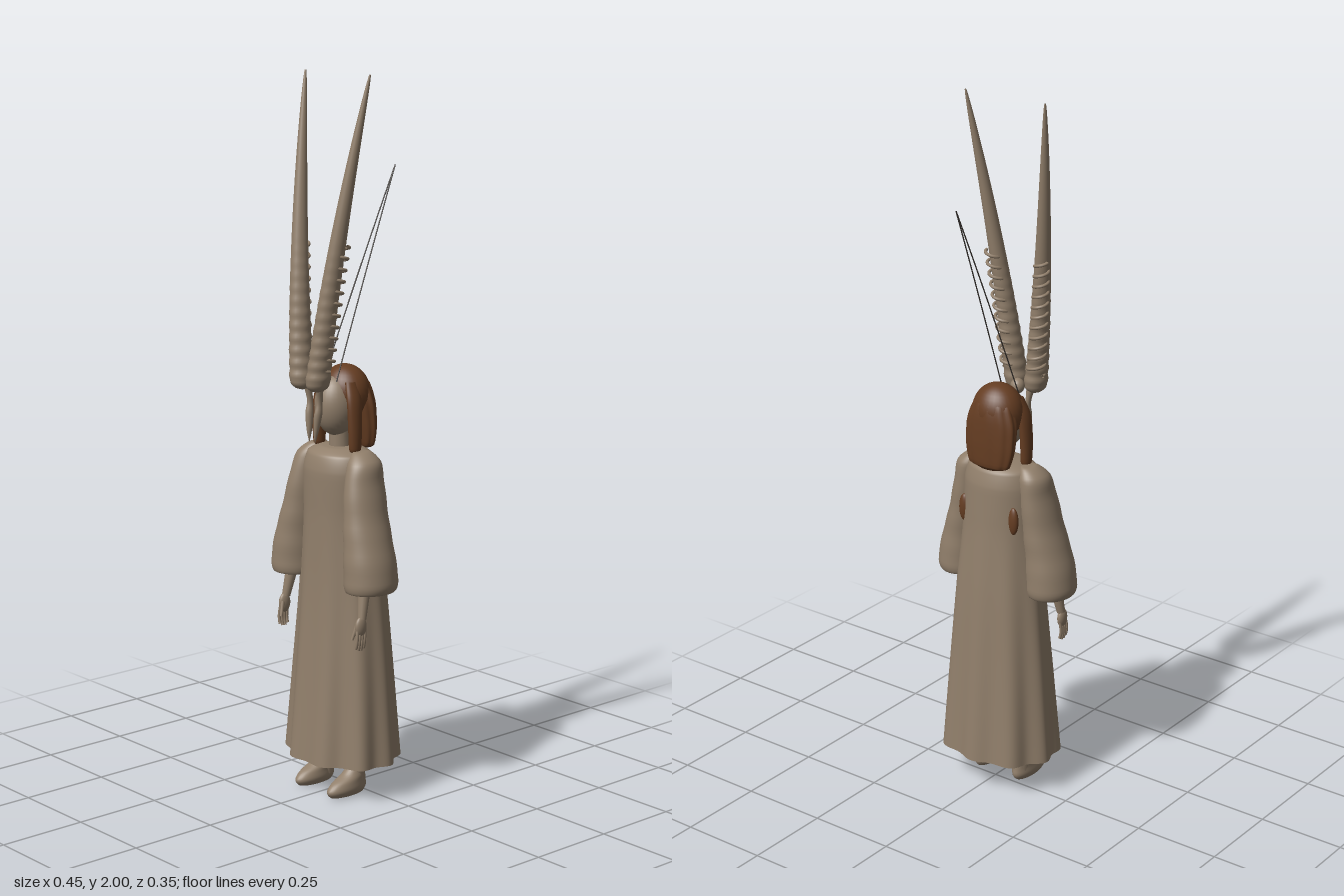
import * as THREE from 'three';

const cloth = new THREE.MeshStandardMaterial({ color: 0x917f6b, side: THREE.DoubleSide });
cloth.name = 'taupe';
const brown = new THREE.MeshStandardMaterial({ color: 0x653d22, side: THREE.DoubleSide });
brown.name = 'hair brown';
const dark = new THREE.MeshStandardMaterial({ color: 0x3c3733 });
dark.name = 'dark wire';

const V = (x, y, z) => new THREE.Vector3(x, y, z);

// Skin horizontal elliptical sections [x, y, z, rx, rz], ordered along the outer surface
function loft(rows, seg = 48, fold = () => 1) {
  const pos = [], idx = [];
  rows.forEach(([x, y, z, rx, rz], i) => {
    for (let j = 0; j < seg; j++) {
      const a = (j / seg) * Math.PI * 2, f = fold(a, y);
      pos.push(x + rx * f * Math.cos(a), y, z + rz * f * Math.sin(a));
      if (i === rows.length - 1) continue;
      const p = i * seg + j, q = i * seg + ((j + 1) % seg);
      idx.push(p, p + seg, q, q, p + seg, q + seg);
    }
  });
  const g = new THREE.BufferGeometry();
  g.setAttribute('position', new THREE.Float32BufferAttribute(pos, 3));
  g.setIndex(idx);
  g.computeVertexNormals();
  return g;
}

// Smoothly resample a few key sections
function smoothRows(keys, n) {
  const a = new THREE.CatmullRomCurve3(keys.map(k => V(k[0], k[1], k[2])));
  const b = new THREE.CatmullRomCurve3(keys.map(k => V(k[3], k[4], 0)));
  return Array.from({ length: n + 1 }, (_, i) => {
    const p = a.getPoint(i / n), r = b.getPoint(i / n);
    return [p.x, p.y, p.z, Math.max(r.x, 0.0005), Math.max(r.y, 0.0005)];
  });
}

export function createModel() {
  const model = new THREE.Group();
  const add = (name, geo, mat = cloth) => {
    const m = new THREE.Mesh(geo, mat);
    m.name = name;
    model.add(m);
    return m;
  };
  const ball = (name, mat, x, y, z, rx, ry, rz) => {
    const m = add(name, new THREE.SphereGeometry(1, 32, 20), mat);
    m.position.set(x, y, z);
    m.scale.set(rx, ry, rz);
    return m;
  };
  // Straight tapered limb between two points
  const limb = (name, a, b, ra, rb, mat = cloth) => {
    const m = add(name, new THREE.CylinderGeometry(rb, ra, a.distanceTo(b), 16), mat);
    m.position.copy(a).lerp(b, 0.5);
    m.quaternion.setFromUnitVectors(V(0, 1, 0), b.clone().sub(a).normalize());
    return m;
  };

  // Robe with folds that deepen towards the hem
  const robe = smoothRows([
    [0, 0.1, 0.024, 0.176, 0.138], [0, 0.35, 0.022, 0.158, 0.12], [0, 0.6, 0.022, 0.136, 0.104],
    [0, 0.8, 0.028, 0.115, 0.093], [0, 0.92, 0.032, 0.113, 0.09], [0, 0.968, 0.032, 0.1, 0.078],
    [0, 0.985, 0.03, 0.06, 0.05], [0, 0.988, 0.03, 0.02, 0.02],
  ], 42);
  add('robe', loft(robe, 144, (a, y) => {
    const k = Math.max(0, 1 - (y - 0.1) / 0.75);
    return 1 + k * (0.05 * Math.cos(9 * (a + Math.PI / 2)) + 0.015 * Math.sin(5 * a));
  }));

  // Neck, head and nose
  limb('neck', V(0, 0.95, 0.03), V(0, 1.06, 0.035), 0.032, 0.028);
  ball('head', cloth, 0, 1.1, 0.045, 0.058, 0.085, 0.062);
  ball('nose', cloth, 0, 1.09, 0.106, 0.008, 0.014, 0.009);

  // Hair: crown, back fall and hanging locks
  ball('hairCrown', brown, 0, 1.13, 0.012, 0.075, 0.08, 0.066);
  add('backHair', loft(smoothRows([
    [0, 0.972, -0.03, 0.03, 0.012], [0, 0.985, -0.03, 0.066, 0.024], [0, 1.04, -0.025, 0.08, 0.032],
    [0, 1.1, -0.018, 0.08, 0.038], [0, 1.16, -0.01, 0.06, 0.038], [0, 1.195, 0, 0.02, 0.02],
  ], 20), 64, a => 1 + 0.025 * Math.cos(11 * a)), brown);

  for (const s of [1, -1]) {
    const side = s > 0 ? 'left' : 'right';

    add(side + 'HairLock', loft(smoothRows([
      [s * 0.074, 0.972, 0.042, 0.003, 0.004], [s * 0.074, 0.985, 0.042, 0.014, 0.018],
      [s * 0.074, 1.05, 0.042, 0.015, 0.022], [s * 0.068, 1.12, 0.04, 0.014, 0.024],
      [s * 0.05, 1.17, 0.035, 0.012, 0.02],
    ], 18), 24), brown);
    // Loose tuft showing through the back of the robe
    ball(side + 'HairTuft', brown, s * 0.085, 0.835, -0.032, 0.016, 0.04, 0.011);

    // Bell sleeve with a turned-in cuff
    add(side + 'Sleeve', loft(smoothRows([
      [s * 0.148, 0.69, 0.06, 0.02, 0.022], [s * 0.15, 0.635, 0.056, 0.05, 0.058],
      [s * 0.152, 0.608, 0.055, 0.062, 0.071], [s * 0.153, 0.635, 0.054, 0.07, 0.079],
      [s * 0.145, 0.71, 0.054, 0.064, 0.075], [s * 0.128, 0.8, 0.05, 0.053, 0.069],
      [s * 0.113, 0.9, 0.043, 0.044, 0.062], [s * 0.105, 0.955, 0.036, 0.04, 0.05],
      [s * 0.09, 0.982, 0.032, 0.02, 0.026], [s * 0.085, 0.984, 0.032, 0.002, 0.002],
    ], 44), 48, (a, y) => 1 + 0.012 * Math.sin(y * 75)));

    // Forearm, palm, fingers and thumb
    limb(side + 'Forearm', V(s * 0.145, 0.68, 0.065), V(s * 0.16, 0.535, 0.093), 0.022, 0.012);
    ball(side + 'Palm', cloth, s * 0.161, 0.515, 0.098, 0.011, 0.028, 0.019);
    for (let i = 0; i < 4; i++) {
      const z = 0.085 + i * 0.009;
      add(side + 'Finger', new THREE.TubeGeometry(new THREE.QuadraticBezierCurve3(
        V(s * 0.162, 0.505, z), V(s * 0.168, 0.475, z + 0.004),
        V(s * 0.16, 0.447 + Math.abs(i - 1.4) * 0.005, z + 0.003)), 8, 0.0045, 8));
    }
    limb(side + 'Thumb', V(s * 0.157, 0.52, 0.108), V(s * 0.15, 0.48, 0.12), 0.006, 0.004);

    // Leg and foot
    limb(side + 'Leg', V(s * 0.066, 0.025, 0.033), V(s * 0.066, 0.25, 0.033), 0.026, 0.032);
    add(side + 'Foot', loft(smoothRows([
      [s * 0.068, 0, 0.068, 0.002, 0.005], [s * 0.068, 0.003, 0.068, 0.022, 0.057],
      [s * 0.068, 0.02, 0.068, 0.03, 0.068], [s * 0.068, 0.04, 0.06, 0.028, 0.058],
      [s * 0.067, 0.058, 0.042, 0.026, 0.038], [s * 0.066, 0.075, 0.035, 0.022, 0.026],
    ], 20), 32));

    // Long swept horn, ridged in its lower half
    const axis = t => V(s * (0.03 + 0.1 * t), 1.15 + 0.85 * t, 0.14 - 0.1 * t ** 1.5);
    const rows = [];
    for (let i = 0; i <= 140; i++) {
      const t = i / 140, p = axis(t);
      const ridge = t < 0.5 ? 1 + 0.05 * Math.sin(t * 160) * (1 - t * 2) : 1;
      const r = (0.03 * (1 - t) ** 0.7 + 0.002) * ridge * Math.min(1, Math.sqrt(t / 0.025));
      rows.push([p.x, p.y, p.z, Math.max(r, 0.0005), Math.max(r * 1.12, 0.0005)]);
    }
    add(side + 'Horn', loft(rows, 24));

    // Spring coil winding up behind the horn
    const coil = [];
    for (let i = 0; i <= 176; i++) {
      const u = i / 176, a = u * Math.PI * 22, p = axis(0.07 + 0.4 * u);
      const r = 0.024 - 0.005 * u;
      coil.push(V(p.x + s * (0.006 + r * Math.cos(a)), p.y, p.z - 0.013 + r * Math.sin(a)));
    }
    add(side + 'HornCoil', new THREE.TubeGeometry(new THREE.CatmullRomCurve3(coil), 400, 0.0045, 8));

    // Ornament hanging from the horn base over the face
    add(side + 'Pendant', loft(smoothRows([
      [s * 0.012, 1.008, 0.132, 0.001, 0.001], [s * 0.014, 1.04, 0.13, 0.007, 0.008],
      [s * 0.018, 1.085, 0.126, 0.01, 0.012], [s * 0.02, 1.12, 0.122, 0.007, 0.009],
      [s * 0.026, 1.18, 0.13, 0.013, 0.014],
    ], 18), 20));

    // Fine antenna sweeping back to a shared point
    add(side + 'Antenna', new THREE.TubeGeometry(new THREE.QuadraticBezierCurve3(
      V(s * 0.027, 1.17, 0.068), V(s * 0.014, 1.47, -0.053), V(0, 1.74, -0.17)), 24, 0.0018, 6), dark);
  }

  // Bead joining the horns to the brow
  ball('browBead', cloth, 0, 1.175, 0.1, 0.02, 0.022, 0.02);
  return model;
}
